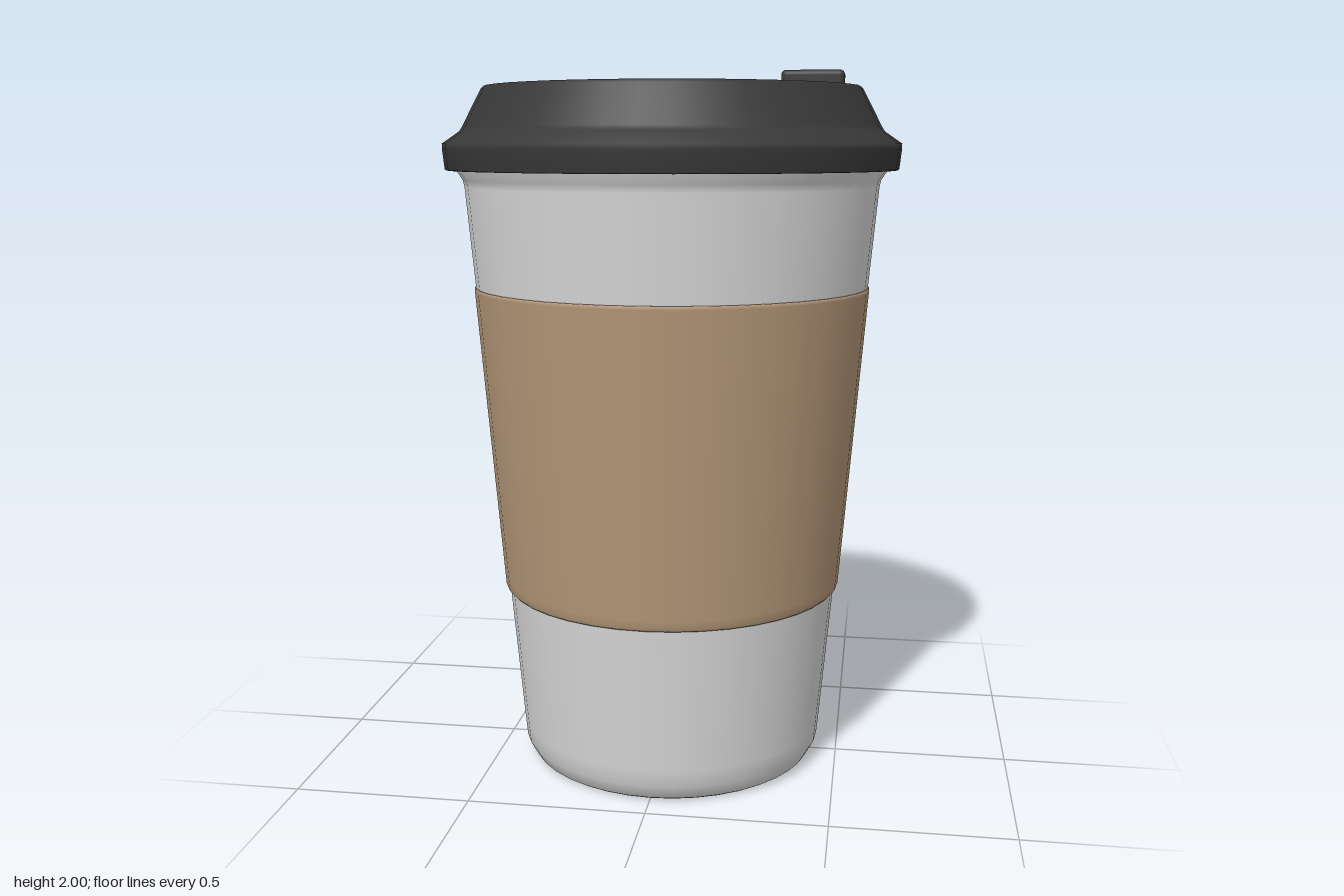
import * as THREE from 'three';
import { RoundedBoxGeometry } from 'three/addons/geometries/RoundedBoxGeometry.js';

const SIDES = 40;

function material(name, color) {
  const m = new THREE.MeshStandardMaterial({ color });
  m.name = name;
  return m;
}

// Round part from a profile of [radius, height] points, listed bottom to top
function turned(name, profile, mat) {
  const points = profile.map(([r, y]) => new THREE.Vector2(r, y));
  const mesh = new THREE.Mesh(new THREE.LatheGeometry(points, SIDES), mat);
  mesh.name = name;
  return mesh;
}

export function createModel() {
  const grey = material('light grey cup', 0xd8d8d8);
  const tan = material('tan cardboard', 0xb49778);
  const black = material('charcoal plastic', 0x383838);
  const group = new THREE.Group();
  group.name = 'travelCup';

  // Tapered cup with a bevelled foot and a flared lip hidden by the lid
  group.add(turned('cup', [
    [0, 0], [0.405, 0], [0.418, 0.008], [0.441, 0.05], [0.446, 0.1],
    [0.586, 1.68], [0.59, 1.7], [0.608, 1.727], [0.612, 1.76], [0.59, 1.79],
  ], grey));

  // Sleeve: a closed ring hugging the cup, looser at the bottom
  group.add(turned('sleeve', [
    [0.478, 0.525], [0.488, 0.518], [0.495, 0.526], [0.497, 0.55],
    [0.565, 1.39], [0.565, 1.4], [0.555, 1.4],
  ], tan));

  // Lid with an underside, an upright rim, a sloped shoulder and a flat top
  group.add(turned('lid', [
    [0.59, 1.727], [0.635, 1.727], [0.639, 1.73], [0.645, 1.785], [0.645, 1.8],
    [0.597, 1.833], [0.589, 1.845], [0.535, 1.948], [0.527, 1.956], [0, 1.956],
  ], black));

  // Small raised tab beside the rim
  const tab = new THREE.Mesh(new RoundedBoxGeometry(0.175, 0.07, 0.06, 3, 0.014), black);
  tab.name = 'lidTab';
  tab.position.set(0.396, 1.965, 0);
  group.add(tab);

  return group;
}
